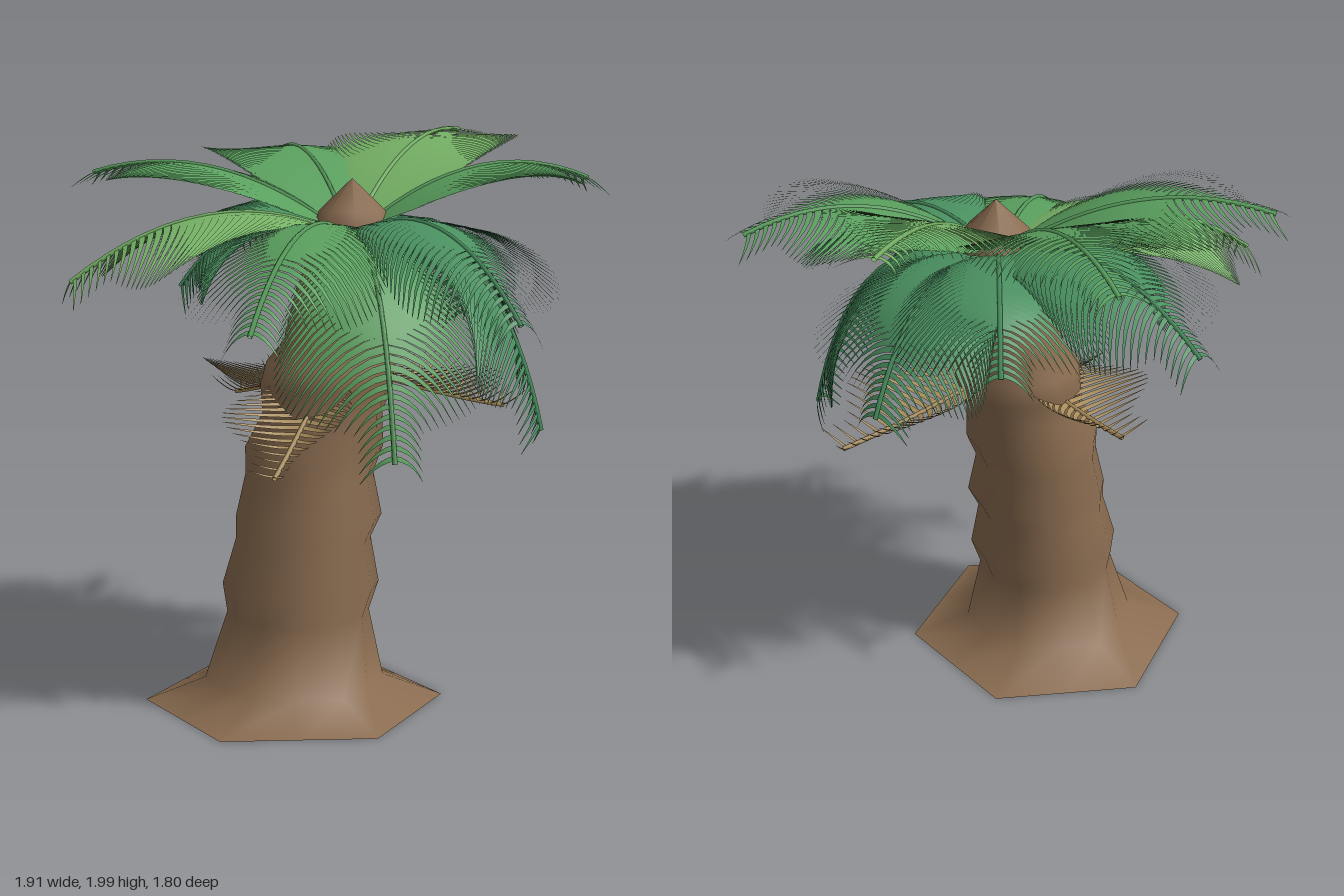
import * as THREE from 'three';
import { mergeVertices, mergeGeometries } from 'three/addons/utils/BufferGeometryUtils.js';

const V = (x, y, z) => new THREE.Vector3(x, y, z);
const mat = (color) => new THREE.MeshStandardMaterial({ color, side: THREE.DoubleSide });

// Trunk rings from top to bottom: [y, centre x, centre z, radius, hexagon flat factor]
const RINGS = [
  [1.62, 0.03, 0.08, 0.12, 1], [1.45, 0.01, 0.09, 0.17, 1], [1.27, -0.02, 0.105, 0.185, 1],
  [1.2, -0.04, 0.115, 0.225, 1], [1.12, -0.055, 0.12, 0.232, 1], [1.02, -0.07, 0.125, 0.21, 1],
  [0.9, -0.1, 0.13, 0.242, 1], [0.81, -0.117, 0.14, 0.224, 1], [0.66, -0.12, 0.15, 0.256, 1],
  [0.58, -0.14, 0.16, 0.237, 1], [0.42, -0.15, 0.165, 0.275, 1], [0.32, -0.16, 0.175, 0.25, 1],
  [0.08, -0.175, 0.175, 0.315, 0.91], [0, -0.175, 0.175, 0.525, 0.866],
];

function trunkGeometry() {
  const sides = 12;
  const g = new THREE.CylinderGeometry(1, 1, 1, sides, RINGS.length - 1, true);
  const p = g.attributes.position;
  for (let k = 0; k < p.count; k++) {
    const [y, cx, cz, r, flat] = RINGS[Math.floor(k / (sides + 1))];
    const i = k % (sides + 1);
    const a = ((i % sides) / sides) * Math.PI * 2;
    const rr = r * (i % 2 ? 1 : flat);
    p.setXYZ(k, cx + rr * Math.sin(a), y, cz + rr * Math.cos(a));
  }
  g.deleteAttribute('uv');
  g.deleteAttribute('normal');
  const merged = mergeVertices(g);
  merged.computeVertexNormals();
  return merged;
}

// One curved, pointed leaflet: a tapered strip sweeping outward and toward the frond tip
function addLeaflet(pos, idx, base, T, S, N, len, width, droop, side) {
  const start = pos.length / 3, steps = 5;
  for (let j = 0; j <= steps; j++) {
    const u = j / steps;
    const c = base.clone()
      .addScaledVector(S, side * len * (u - 0.12 * u * u))
      .addScaledVector(T, len * (0.15 * u + 0.5 * u * u))
      .addScaledVector(N, -len * droop * u * u);
    const w = width * 0.5 * (1 - u * u * 0.9);
    const a = c.clone().addScaledVector(T, -w * side), b = c.clone().addScaledVector(T, w * side);
    pos.push(a.x, a.y, a.z, b.x, b.y, b.z);
    const q = start + j * 2;
    if (j < steps) idx.push(q, q + 2, q + 1, q + 1, q + 2, q + 3);
  }
}

// Leaflets are long over the inner part of the rib and short near the tip
function frondGeometry(curve, { count, wide, tip, droop, width, stem }) {
  const pos = [], idx = [];
  for (let i = 0; i < count; i++) {
    const f = i / (count - 1);
    const t = 0.1 + 0.88 * (0.75 * f + 0.25 * f * f);
    const base = curve.getPointAt(t), T = curve.getTangentAt(t);
    const S = new THREE.Vector3().crossVectors(T, V(0, 1, 0)).normalize();
    const N = new THREE.Vector3().crossVectors(S, T);
    const bulge = Math.sin(Math.PI * Math.min(t / 0.83, 1));
    for (const side of [1, -1])
      addLeaflet(pos, idx, base, T, S, N, tip + wide * bulge, width * (0.5 + 0.5 * bulge),
        droop * (0.5 + t), side);
  }
  const leaves = new THREE.BufferGeometry();
  leaves.setAttribute('position', new THREE.Float32BufferAttribute(pos, 3));
  leaves.setIndex(idx);
  leaves.computeVertexNormals();
  const rib = new THREE.TubeGeometry(curve, 14, stem, 5);
  rib.deleteAttribute('uv');
  return mergeGeometries([leaves, rib]);
}

// Live fronds: [tip x, tip y, tip z, arch height, arch position along the reach, colour index, droop]
const FRONDS = [
  [-0.22, 1.87, -0.84, 2.05, 0.5, 1, 0.12], [0.5, 1.98, -0.71, 2.02, 0.45, 2, 0.1],
  [0.89, 1.82, -0.09, 2.0, 0.5, 1, 0.22], [-0.87, 1.84, -0.19, 1.98, 0.5, 1, 0.2],
  [-0.92, 1.5, 0.33, 1.87, 0.5, 2, 0.35], [-0.33, 1.38, 0.85, 1.84, 0.55, 1, 0.35],
  [0.52, 1.4, 0.79, 1.86, 0.55, 0, 0.35], [-0.54, 1.52, -0.59, 1.9, 0.5, 0, 0.35],
  [0.67, 0.98, 0.31, 1.77, 0.75, 0, 0.35], [0.13, 0.95, 0.73, 1.72, 0.7, 1, 0.35],
  [0.5, 1.29, -0.43, 1.82, 0.65, 0, 0.35], [-0.56, 1.46, 0.1, 1.82, 0.6, 0, 0.35],
  [0.1, 1.47, -0.55, 1.84, 0.6, 0, 0.35],
];
const GREENS = [0x4a9060, 0x5a9f5e, 0x76b266];

// Dead fronds hanging below the crown: [tip x, y, z]
const DEAD = [[0.6, 1.0, -0.1], [-0.25, 0.87, 0.55], [-0.37, 1.04, -0.22]];

export function createModel() {
  const group = new THREE.Group();
  const add = (name, geometry, material) => {
    const mesh = new THREE.Mesh(geometry, material);
    mesh.name = name;
    group.add(mesh);
    return mesh;
  };

  // Trunk with flared hexagonal foot
  const bark = mat(0x8a6c50);
  add('trunk', trunkGeometry(), bark);
  const under = add('trunkUnderside', new THREE.CircleGeometry(0.525, 6).rotateX(Math.PI / 2), bark);
  under.position.set(-0.175, 0, 0.175);

  // Pointed bud at the heart of the crown
  const profile = [[0.07, 1.5], [0.125, 1.55], [0.145, 1.63], [0.115, 1.72], [0, 1.83]];
  const bud = add('crownBud',
    new THREE.LatheGeometry(profile.map(([r, y]) => new THREE.Vector2(r, y)), 8), bark);
  bud.position.set(0.035, 0, 0.09);

  // Green fronds
  const greens = GREENS.map(mat);
  const heart = V(0.03, 1.62, 0.08);
  const live = { count: 34, wide: 0.29, tip: 0.12, width: 0.034, stem: 0.009 };
  for (const [x, y, z, archY, at, color, droop] of FRONDS) {
    const tip = V(x, y, z);
    const arch = heart.clone().lerp(tip, at).setY(archY);
    const rib = new THREE.QuadraticBezierCurve3(heart, arch, tip);
    add('frond', frondGeometry(rib, { ...live, droop }), greens[color]);
  }

  // Dry fronds
  const straw = mat(0xa98d5c);
  const collar = V(-0.03, 1.2, 0.11);
  const dry = { count: 18, wide: 0.17, tip: 0.08, droop: -0.6, width: 0.022, stem: 0.009 };
  for (const [x, y, z] of DEAD) {
    const tip = V(x, y, z);
    const sag = collar.clone().lerp(tip, 0.55).setY((collar.y + y) / 2 - 0.04);
    add('dryFrond', frondGeometry(new THREE.QuadraticBezierCurve3(collar, sag, tip), dry), straw);
  }
  return group;
}
